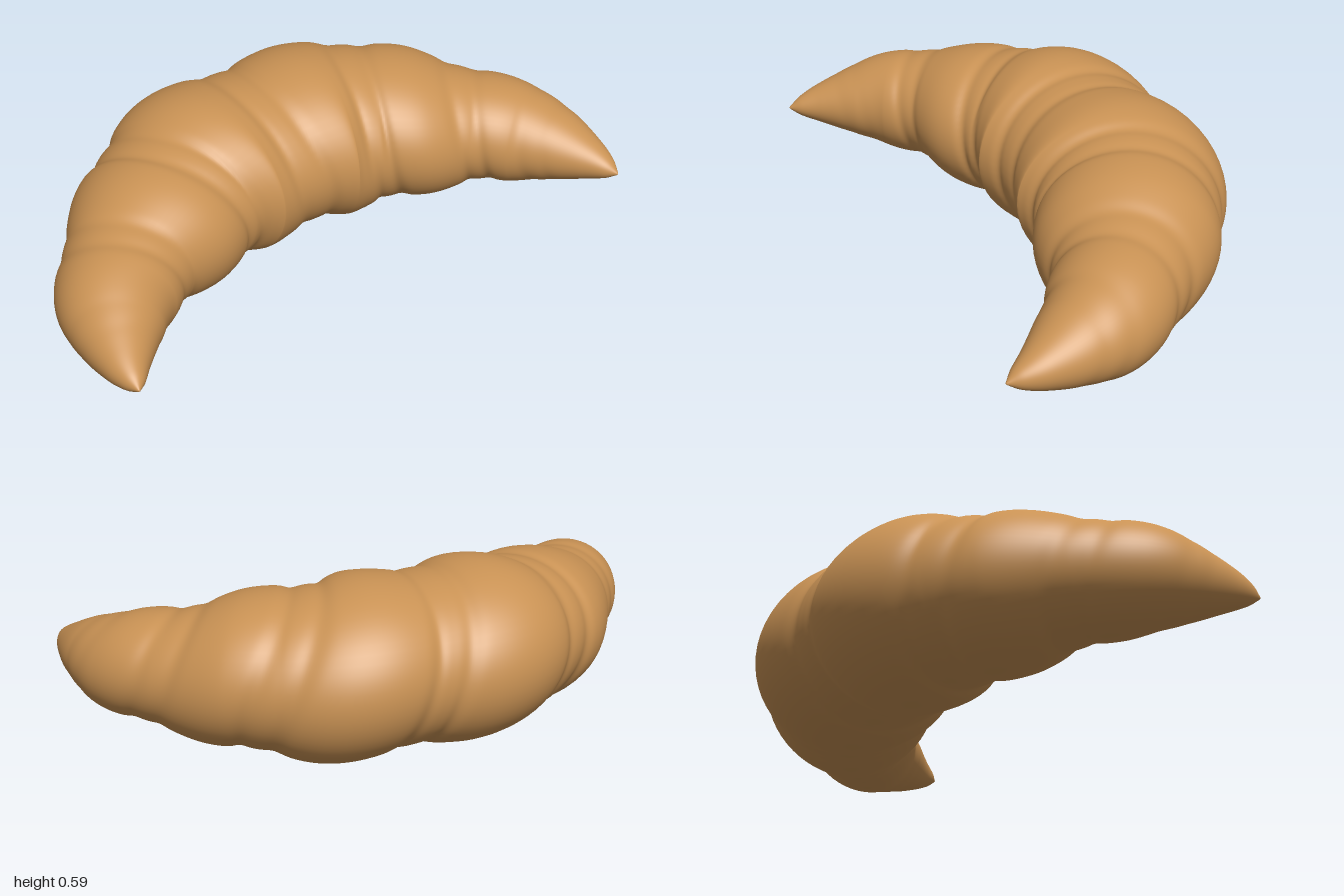
import * as THREE from 'three';

// Half of the curved spine, from the middle to the tip: x, y, z
const HALF = [
  [0.22, 0.293, -0.195], [0.38, 0.288, -0.135], [0.515, 0.282, -0.054], [0.69, 0.271, 0.067],
  [0.805, 0.263, 0.19], [0.866, 0.256, 0.31], [0.912, 0.247, 0.44], [0.935, 0.24, 0.55],
];

// Half height and half width of the dough by distance from the middle (0) to the tip (1)
const HEIGHT = [[0, 0.288], [0.2, 0.29], [0.4, 0.253], [0.57, 0.204], [0.7, 0.173], [0.8, 0.134], [0.9, 0.078], [0.97, 0.034], [1, 0.004]];
const WIDTH = [[0, 0.343], [0.2, 0.342], [0.4, 0.298], [0.57, 0.23], [0.7, 0.189], [0.8, 0.148], [0.9, 0.085], [0.97, 0.036], [1, 0.004]];

// Seams between the rolled layers: distance along the spine, depth
const SEAMS = [[-1.08, 0.3], [-0.78, 0.85], [-0.41, 1.05], [0.0, 0.9], [0.41, 1], [0.77, 1], [1.04, 0.45]];

// Smooth interpolation in a short table
function lookup(table, t) {
  let i = 0;
  while (i < table.length - 2 && t > table[i + 1][0]) i++;
  const slope = (k) => {
    if (k === 0) return 0;
    const a = table[k - 1], b = table[Math.min(k + 1, table.length - 1)];
    return (b[1] - a[1]) / (b[0] - a[0]);
  };
  const [x0, y0] = table[i], [x1, y1] = table[i + 1];
  const h = x1 - x0, u = (t - x0) / h, u2 = u * u, u3 = u2 * u;
  return (2 * u3 - 3 * u2 + 1) * y0 + (u3 - 2 * u2 + u) * h * slope(i)
    + (3 * u2 - 2 * u3) * y1 + (u3 - u2) * h * slope(i + 1);
}

const bell = (d, w) => Math.exp(-(d * d) / (w * w));

// Depth of the folds: a broad valley with two narrow creases in it
function fold(s) {
  let depth = 0;
  for (const [seam, strength] of SEAMS) {
    const k = 1 - 0.25 * Math.abs(seam);
    const d = s - seam;
    const creases = bell(d - 0.055 * k, 0.026) + bell(d + 0.055 * k, 0.026);
    depth += strength * (0.095 * bell(d, 0.135 * k) + 0.025 * creases);
  }
  return depth;
}

function doughGeometry() {
  const right = HALF.map(([x, y, z]) => new THREE.Vector3(x, y, z));
  const left = HALF.map(([x, y, z]) => new THREE.Vector3(-x, y, z)).reverse();
  const spine = new THREE.CatmullRomCurve3([...left, new THREE.Vector3(0, 0.294, -0.205), ...right]);
  spine.arcLengthDivisions = 1000;
  const length = spine.getLength();
  const rings = 360, sides = 64;
  const up = new THREE.Vector3(0, 1, 0);
  const positions = [], indices = [];

  for (let i = 0; i <= rings; i++) {
    const u = i / rings;
    const centre = spine.getPointAt(u);
    const tangent = spine.getTangentAt(u).setY(0).normalize();
    const outward = new THREE.Vector3().crossVectors(up, tangent);
    const t = Math.abs(2 * u - 1);
    const s = (u - 0.5) * length;
    const high = lookup(HEIGHT, t), wide = lookup(WIDTH, t);
    for (let j = 0; j < sides; j++) {
      const angle = (j / sides) * Math.PI * 2;
      const c = Math.cos(angle), n = Math.sin(angle);
      // the seams lean, sitting further left on top than underneath
      const r = 1.02 - fold(s + 0.27 * high * n);
      const p = centre.clone().addScaledVector(outward, wide * r * c).addScaledVector(up, high * r * n);
      positions.push(p.x, p.y, p.z);
    }
  }
  for (let i = 0; i < rings; i++) {
    for (let j = 0; j < sides; j++) {
      const a = i * sides + j, b = i * sides + (j + 1) % sides;
      indices.push(a, b, a + sides, b, b + sides, a + sides);
    }
  }
  // close both tips
  for (const [u, ring, flip] of [[0, 0, true], [1, rings, false]]) {
    const p = spine.getPointAt(u);
    const tip = positions.length / 3;
    positions.push(p.x, p.y, p.z + 0.003);
    for (let j = 0; j < sides; j++) {
      const a = ring * sides + j, b = ring * sides + (j + 1) % sides;
      indices.push(...(flip ? [b, a, tip] : [a, b, tip]));
    }
  }

  const geometry = new THREE.BufferGeometry();
  geometry.setAttribute('position', new THREE.Float32BufferAttribute(positions, 3));
  geometry.setIndex(indices);

  // rest on the ground, centred
  geometry.computeBoundingBox();
  const { min, max } = geometry.boundingBox;
  geometry.translate(-(min.x + max.x) / 2, -min.y, -(min.z + max.z) / 2);
  geometry.computeVertexNormals();
  return geometry;
}

export function createModel() {
  const group = new THREE.Group();
  group.name = 'croissant';
  const crust = new THREE.MeshStandardMaterial({ color: 0xc99254 });
  crust.name = 'golden crust';
  const dough = new THREE.Mesh(doughGeometry(), crust);
  dough.name = 'rolledDough';
  group.add(dough);
  return group;
}
